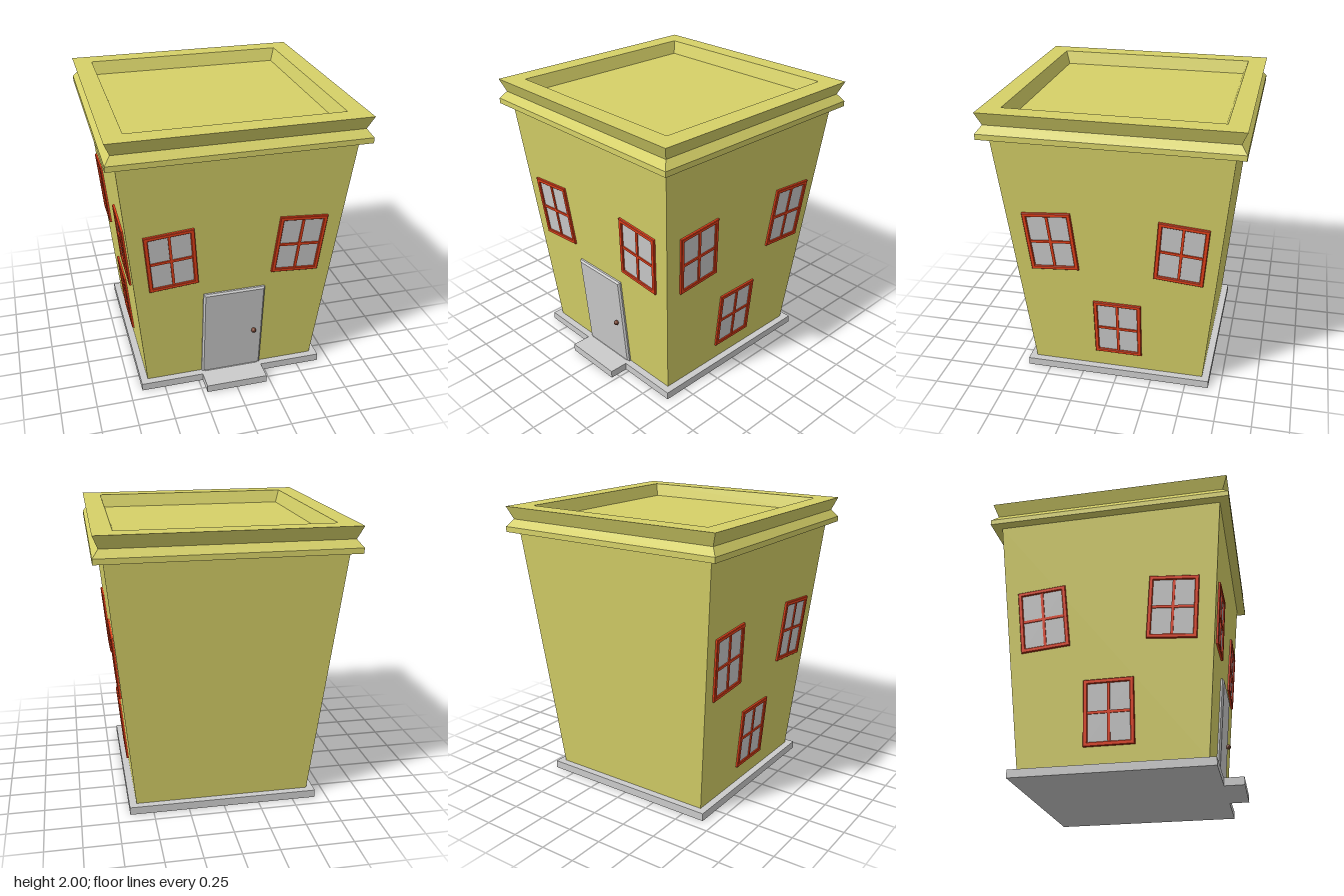
import * as THREE from 'three';

const mat = (color) => new THREE.MeshStandardMaterial({ color, flatShading: true });
const TILT = Math.atan(0.165 / 1.77);
// distance of the outward-leaning wall from the axis at height y
const wallAt = (y) => 0.615 + (y - 0.055) * 0.165 / 1.77;

function mesh(name, geometry, material, x = 0, y = 0, z = 0) {
  const m = new THREE.Mesh(geometry, material);
  m.name = name;
  m.position.set(x, y, z);
  return m;
}

// four-sided body from a [half width, height] profile
function squareLathe(profile) {
  const pts = profile.map(([h, y]) => new THREE.Vector2(h * Math.SQRT2, y));
  const g = new THREE.LatheGeometry(pts, 4, Math.PI / 4).toNonIndexed();
  g.computeVertexNormals();
  return g;
}

const rect = (Type, x0, y0, x1, y1) => new Type([
  new THREE.Vector2(x0, y0), new THREE.Vector2(x1, y0),
  new THREE.Vector2(x1, y1), new THREE.Vector2(x0, y1)]);

// bevelled picture frame: outer and inner rectangles as [x0, y0, x1, y1]
function frameGeometry(outer, inner, depth, bevel) {
  const [a, b, c, d] = outer;
  const [e, f, g, h] = inner;
  const s = rect(THREE.Shape, a + bevel, b + bevel, c - bevel, d - bevel);
  s.holes.push(rect(THREE.Path, e - bevel, f - bevel, g + bevel, h + bevel));
  return new THREE.ExtrudeGeometry(s, {
    depth: depth - bevel, bevelEnabled: true, bevelSize: bevel,
    bevelThickness: bevel, bevelSegments: 1,
  });
}

export function createModel() {
  const model = new THREE.Group();
  model.name = 'house';
  const yellow = mat(0xd6d168), red = mat(0xe6401a), grey = mat(0xcccccc), brown = mat(0x7a4a38);

  // base slab and doorstep
  model.add(mesh('base', new THREE.BoxGeometry(1.33, 0.055, 1.33), grey, 0, 0.0275, 0));
  model.add(mesh('doorstep', new THREE.BoxGeometry(0.44, 0.055, 0.14), grey, 0, 0.0275, 0.73));

  // walls leaning outward
  model.add(mesh('walls', squareLathe([[0.615, 0.055], [0.78, 1.825]]), yellow));

  // cornice, flared parapet and sunken roof
  model.add(mesh('corniceAndRoof', squareLathe([
    [0.76, 1.825], [0.845, 1.825], [0.845, 1.862], [0.805, 1.912],
    [0.84, 2], [0.71, 2], [0.68, 1.91], [0, 1.91]]), yellow));

  // place a part on a wall: side = turn about y, u = offset along the wall
  function mount(part, side, u, y, roll = 0) {
    part.position.set(u, y, wallAt(y));
    part.rotation.set(TILT, 0, roll);
    const pivot = new THREE.Group();
    pivot.name = part.name + 'Mount';
    pivot.rotation.y = side;
    pivot.add(part);
    model.add(pivot);
  }

  // windows
  const W = 0.168, H = 0.222, BAR = 0.028;
  const windowFrame = frameGeometry([-W, -H, W, H], [BAR - W, BAR - H, W - BAR, H - BAR], 0.016, 0.004);
  function makeWindow() {
    const g = new THREE.Group();
    g.name = 'window';
    g.add(mesh('windowFrame', windowFrame, red));
    g.add(mesh('uprightBar', new THREE.BoxGeometry(0.018, 2 * H - BAR, 0.016), red, 0, 0, 0.004));
    g.add(mesh('crossBar', new THREE.BoxGeometry(2 * W - BAR, 0.018, 0.016), red, 0, 0, 0.004));
    g.add(mesh('glass', new THREE.BoxGeometry(2 * W - BAR, 2 * H - BAR, 0.008), grey));
    return g;
  }
  const ROLL = 0.083;
  for (const s of [-1, 1]) {
    const side = s * Math.PI / 2;
    mount(makeWindow(), 0, 0.44 * s, 1.085, -s * ROLL);
    mount(makeWindow(), side, -0.43 * s, 1.085, s * ROLL);
    mount(makeWindow(), side, 0.455 * s, 1.085, -s * ROLL);
    mount(makeWindow(), side, 0.01 * s, 0.403);
  }

  // door: outer frame, bevelled rim, panel and knob
  const door = new THREE.Group();
  door.name = 'door';
  door.add(mesh('doorFrame', frameGeometry([-0.218, 0, 0.218, 0.712], [-0.182, 0.012, 0.182, 0.66], 0.024, 0.012), grey));
  door.add(mesh('doorRim', frameGeometry([-0.19, 0.004, 0.19, 0.668], [-0.158, 0.03, 0.158, 0.635], 0.012, 0.008), grey));
  door.add(mesh('doorPanel', new THREE.BoxGeometry(0.35, 0.64, 0.008), grey, 0, 0.335, 0));
  const stem = mesh('knobStem', new THREE.CylinderGeometry(0.008, 0.008, 0.03, 8), brown, 0.15, 0.34, 0.018);
  stem.rotation.x = Math.PI / 2;
  door.add(stem);
  door.add(mesh('doorKnob', new THREE.SphereGeometry(0.018, 10, 8), brown, 0.15, 0.34, 0.036));
  mount(door, 0, 0, 0.055);

  return model;
}
